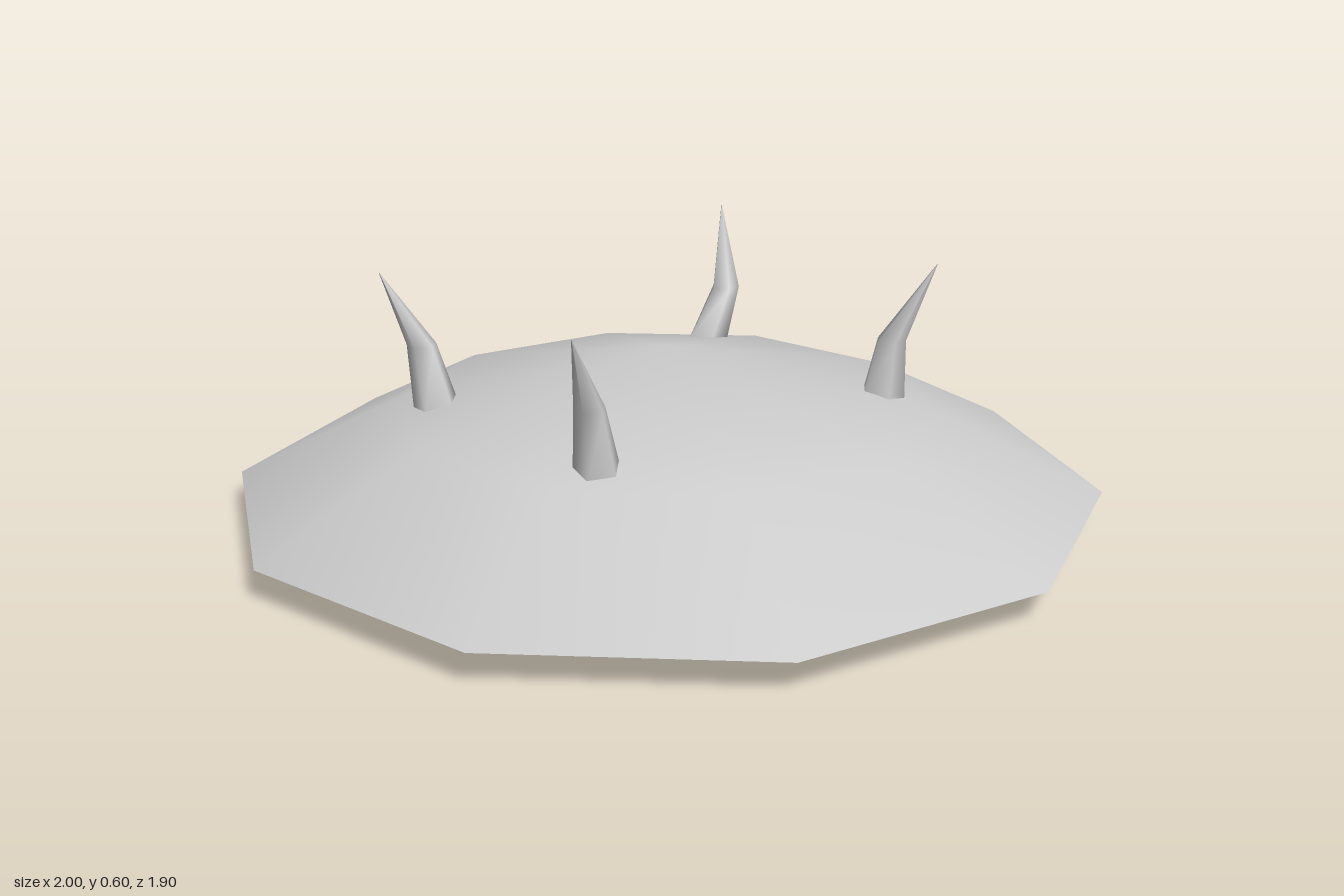
import * as THREE from 'three';
import { mergeVertices } from 'three/addons/utils/BufferGeometryUtils.js';

// Smooth skin over a list of rings that all have the same number of points
function skin(rings) {
  const n = rings[0].length, index = [];
  for (let r = 0; r < rings.length - 1; r++) {
    for (let i = 0; i < n; i++) {
      const a = r * n + i, b = r * n + (i + 1) % n;
      index.push(a, a + n, b, b, a + n, b + n);
    }
  }
  const geometry = new THREE.BufferGeometry();
  geometry.setAttribute('position', new THREE.Float32BufferAttribute(rings.flat(2), 3));
  geometry.setIndex(index);
  geometry.computeVertexNormals();
  return geometry;
}

// Five-sided horn: base just under the dome, a bend, then a sharp tip
function spikeGeometry(base, bend, tip) {
  const turn = Math.atan2(tip[2] - base[1], tip[0] - base[0]);
  const ring = (x, z, radius, height) => Array.from({ length: 5 }, (_, i) => {
    const a = turn + i / 5 * Math.PI * 2;
    const px = x + radius * Math.cos(a), pz = z + radius * Math.sin(a);
    return [px, height(px, pz), pz];
  });
  return skin([
    ring(base[0], base[1], 0.052, (x, z) => 0.388 - 0.23 * Math.hypot(x, z)),
    ring(bend[0], bend[2], 0.035, () => bend[1]),
    ring(tip[0], tip[2], 0.001, () => tip[1]),
  ]);
}

export function createModel() {
  const group = new THREE.Group();
  const metal = new THREE.MeshStandardMaterial({ color: 0xcccccc, side: THREE.DoubleSide });
  metal.name = 'plainGrey';
  const add = (name, geometry) => {
    const mesh = new THREE.Mesh(geometry, metal);
    mesh.name = name;
    group.add(mesh);
  };

  // Ten-sided open dome
  const profile = [[1, 0.07], [0.62, 0.26], [0, 0.4]].map(p => new THREE.Vector2(...p));
  let dome = new THREE.LatheGeometry(profile, 10, Math.PI / 2);
  dome.deleteAttribute('normal');
  dome.deleteAttribute('uv');
  dome = mergeVertices(dome, 1e-4);
  dome.computeVertexNormals();
  add('shieldDome', dome);

  // Four outward-bent spikes: base (x, z), bend and tip
  const spikes = {
    frontLeftSpike: [[0.42, 0.26], [0.435, 0.41, 0.267], [0.51, 0.59, 0.33]],
    frontRightSpike: [[-0.38, 0.345], [-0.4, 0.41, 0.353], [-0.473, 0.58, 0.41]],
    backLeftSpike: [[0.335, -0.345], [0.392, 0.41, -0.345], [0.43, 0.6, -0.42]],
    backRightSpike: [[-0.465, -0.235], [-0.483, 0.41, -0.262], [-0.56, 0.577, -0.305]],
  };
  for (const [name, points] of Object.entries(spikes)) add(name, spikeGeometry(...points));

  // Grip strap under the dome: flat bar with two splayed arms, [outer z, y, inner z, y]
  const arm = [0.278, 0.29, 0.25, 0.308];
  const corner = [0.11, 0, 0.09, 0.03];
  const strap = [[arm, 1], [corner, 1], [corner, -1], [arm, -1]].map(([[oz, oy, iz, iy], s]) => [
    [0.017, iy, iz * s], [-0.043, iy, iz * s], [-0.043, oy, oz * s], [0.017, oy, oz * s],
  ]);
  add('gripHandle', skin(strap));

  return group;
}
